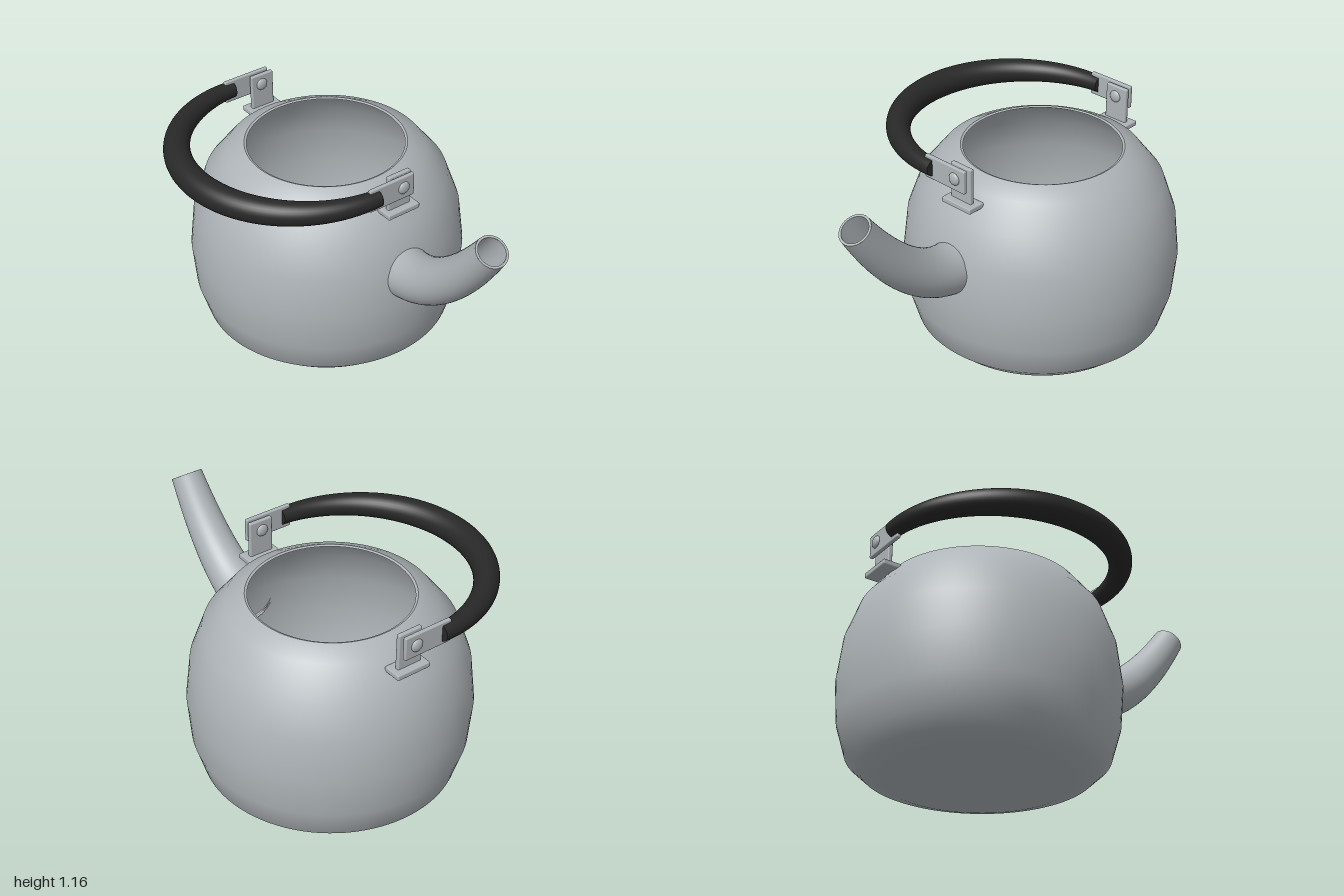
import * as THREE from 'three';
import { RoundedBoxGeometry } from 'three/addons/geometries/RoundedBoxGeometry.js';

const CX = -0.3, CZ = -0.065; // axis of the pot

// Tube whose radius changes along its path
function taperedTube(path, rings, sides, radiusAt) {
  const geo = new THREE.TubeGeometry(path, rings, 1, sides, false);
  const pos = geo.attributes.position, v = new THREE.Vector3();
  for (let i = 0; i <= rings; i++) {
    const c = path.getPointAt(i / rings), r = radiusAt(i / rings);
    for (let j = 0; j <= sides; j++) {
      const k = i * (sides + 1) + j;
      v.fromBufferAttribute(pos, k).sub(c).multiplyScalar(r).add(c);
      pos.setXYZ(k, v.x, v.y, v.z);
    }
  }
  geo.computeBoundingSphere();
  return geo;
}

const lathe = (points) =>
  new THREE.LatheGeometry(points.map(([r, y]) => new THREE.Vector2(r, y)), 96);

export function createModel() {
  const steel = new THREE.MeshStandardMaterial({ color: 0xaeb4b8, side: THREE.DoubleSide });
  steel.name = 'steel';
  const black = new THREE.MeshStandardMaterial({ color: 0x282828 });
  black.name = 'black grip';

  const model = new THREE.Group();
  model.name = 'kettle';
  const add = (name, geo, mat, x = 0, y = 0, z = 0, parent = model) => {
    const mesh = new THREE.Mesh(geo, mat);
    mesh.name = name;
    mesh.position.set(x, y, z);
    parent.add(mesh);
    return mesh;
  };

  // Pot: outer shell, rim and inner wall
  const outer = [[0, 0], [0.47, 0], [0.565, 0.03], [0.64, 0.1], [0.685, 0.255],
    [0.7, 0.46], [0.675, 0.67], [0.61, 0.85], [0.5, 0.987], [0.405, 1.033]];
  const inner = [[0.393, 1.028], [0.487, 0.974], [0.594, 0.842], [0.658, 0.667], [0.682, 0.46],
    [0.668, 0.258], [0.624, 0.11], [0.555, 0.045], [0.46, 0.02], [0, 0.02]];
  add('potShell', lathe(outer), steel, CX, 0, CZ);
  add('potRim', lathe([[0.405, 1.033], [0.393, 1.028]]), steel, CX, 0, CZ);
  add('potInside', lathe(inner), steel, CX, 0, CZ);

  // Spout: curved, tapered and open at the tip
  const tip = new THREE.Vector3(0.933, 1.088, CZ);
  const spoutPath = new THREE.QuadraticBezierCurve3(
    new THREE.Vector3(0.355, 0.613, CZ), new THREE.Vector3(0.63, 0.635, CZ), tip);
  const spoutRadius = (t) => 0.13 - 0.049 * t;
  add('spout', taperedTube(spoutPath, 32, 40, spoutRadius), steel);
  add('spoutInside', taperedTube(spoutPath, 32, 40, (t) => spoutRadius(t) - 0.012), steel);
  const lip = add('spoutLip', new THREE.RingGeometry(0.069, 0.081, 40), steel, tip.x, tip.y, tip.z);
  lip.quaternion.setFromUnitVectors(new THREE.Vector3(0, 0, 1), spoutPath.getTangentAt(1));

  // Handle: half ring lying forward, thickest in the middle
  const HY = 1.087, HZ = 0.08, HR = 0.608, END = 0.042;
  const arc = new THREE.Curve();
  arc.getPoint = (t, p = new THREE.Vector3()) =>
    p.set(CX + HR * Math.cos(Math.PI * t), HY, HZ + HR * Math.sin(Math.PI * t));
  add('handle', taperedTube(arc, 64, 32, (t) => END + 0.027 * Math.sin(Math.PI * t)), black);

  for (const s of [-1, 1]) {
    add('handleEnd', new THREE.CircleGeometry(END, 32), black, CX + s * HR, HY, HZ).rotation.y = Math.PI;

    // Hinge bracket joining the handle to the pot
    const bracket = new THREE.Group();
    bracket.name = s > 0 ? 'leftBracket' : 'rightBracket';
    bracket.position.x = CX;
    model.add(bracket);
    const box = (name, w, h, d, x, y, z) =>
      add(name, new RoundedBoxGeometry(w, h, d, 2, 0.006), steel, s * x, y, z, bracket);
    box('foot', 0.096, 0.028, 0.185, 0.568, 0.945, -0.072);
    box('post', 0.024, 0.2, 0.13, 0.567, 1.043, -0.07);
    box('strap', 0.022, 0.12, 0.26, 0.604, 1.085, 0.002);

    // Hinge pin with a domed head on each side
    const pin = add('pin', new THREE.CylinderGeometry(0.014, 0.014, 0.06, 16), steel, s * 0.586, HY, -0.065, bracket);
    pin.rotation.z = Math.PI / 2;
    for (const x of [0.556, 0.615]) {
      add('pinHead', new THREE.SphereGeometry(0.032, 20, 14), steel, s * x, HY, -0.065, bracket).scale.x = 0.5;
    }
  }
  return model;
}
